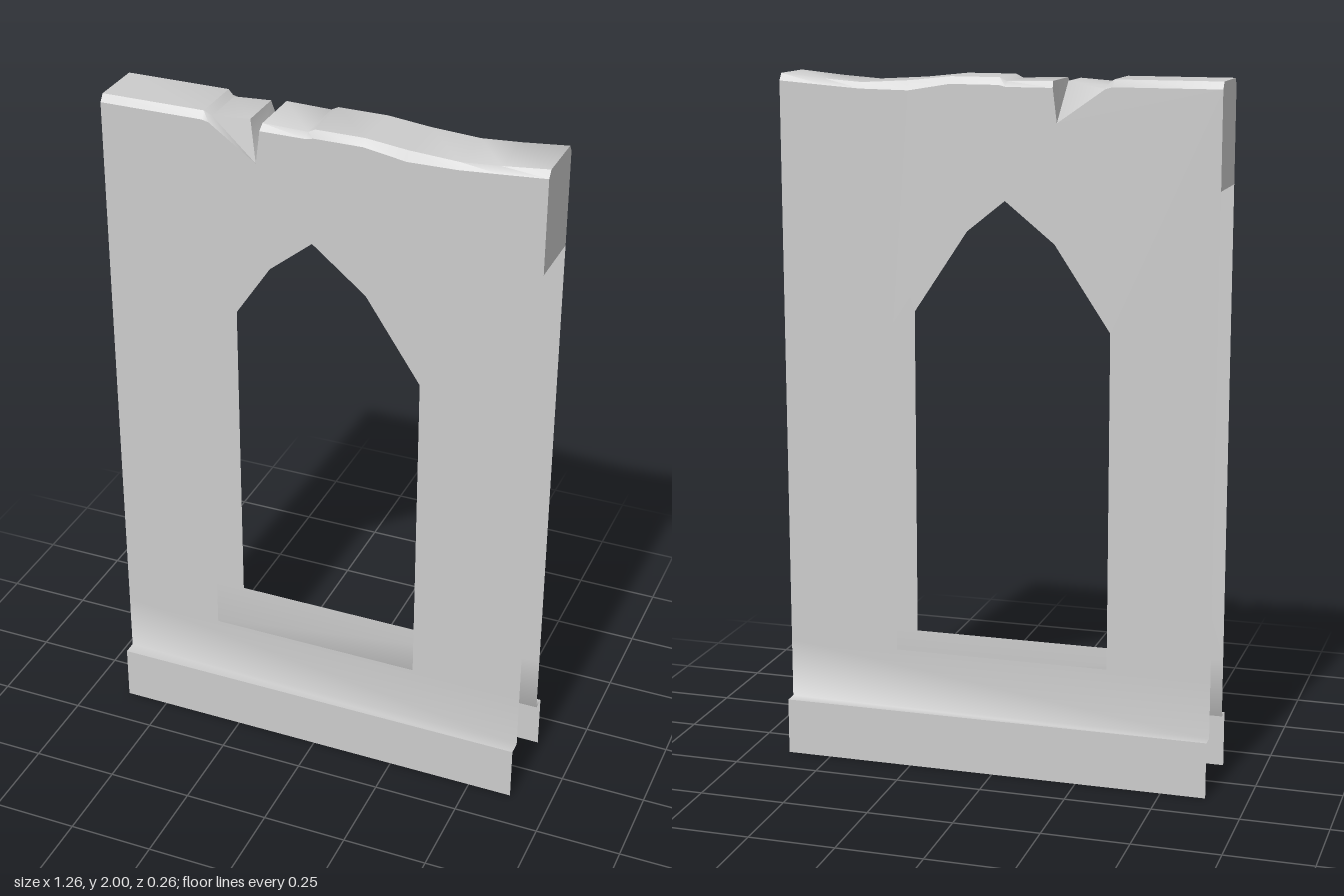
import * as THREE from 'three';
import { toCreasedNormals } from 'three/addons/utils/BufferGeometryUtils.js';

const W = 0.63;    // half width
const D = 0.093;   // half thickness of the wall
const PLINTH = 0.165, SILL = 0.34, CAP = 1.71;

// Broken top edge, left to right: [panel x, panel y, crest x, crest y, crest half depth]
const CREST = [
  [-W, 1.98, -W, 2.0, 0.078],
  [-0.33, 1.98, -0.33, 2.0, 0.078],
  [-0.31, 1.975, -0.31, 1.985, 0.07],
  [-0.175, 1.88, -0.2, 1.993, 0.067],   // loose chip
  [-0.175, 1.88, -0.175, 1.88, D],      // bottom of the crack
  [-0.163, 1.975, -0.16, 1.993, 0.079],
  [-0.03, 1.975, -0.03, 1.99, 0.079],
  [-0.01, 1.98, -0.01, 2.0, 0.079],
  [0.13, 1.98, 0.13, 2.0, 0.079],
  [0.25, 1.96, 0.25, 1.987, 0.08],
  [0.39, 1.962, 0.39, 1.979, 0.08],
  [0.5, 1.97, 0.5, 1.987, 0.079],
  [W, 1.98, W, 2.0, 0.078],
];

// Pointed window opening, from the left sill corner to the right one
const ARCH = [[-0.33, SILL], [-0.33, 1.31], [-0.17, 1.55], [-0.015, 1.675],
  [0.14, 1.55], [0.3, 1.31], [0.3, SILL]];

// Surface through rows of points; rows run along +x
function strip(rows) {
  const n = rows[0].length, index = [];
  for (let i = 0; i < rows.length - 1; i++) {
    for (let j = 0; j < n - 1; j++) {
      const a = i * n + j, b = a + n;
      index.push(a, b, a + 1, b, b + 1, a + 1);
    }
  }
  const g = new THREE.BufferGeometry();
  g.setAttribute('position', new THREE.Float32BufferAttribute(rows.flat(2), 3));
  g.setIndex(index);
  g.computeVertexNormals();
  return g;
}

const shapeOf = (pts) => new THREE.ShapeGeometry(
  new THREE.Shape(pts.map(([x, y]) => new THREE.Vector2(x, y))));

export function createModel() {
  const group = new THREE.Group();
  const material = new THREE.MeshStandardMaterial({ color: 0xcccccc, side: THREE.DoubleSide });
  const add = (name, geometry) => {
    const mesh = new THREE.Mesh(geometry, material);
    mesh.name = name;
    group.add(mesh);
  };
  const alongX = (profile) => strip([-W, W].map((x) => profile.map(([y, z]) => [x, y, z])));

  // Front and back skins: panel around the window, sill band, plinth
  for (const s of [1, -1]) {
    const side = s > 0 ? 'front' : 'back';
    const turn = (g) => (s > 0 ? g : g.rotateY(Math.PI));
    const top = CREST.filter((c, i) => i !== 4).map(([x, y]) => [x, y]).reverse();
    const outline = [[-W, SILL], ...ARCH, [W, SILL], ...top];
    add(side + 'Panel', turn(shapeOf(outline.map(([x, y]) => [x * s, y])).translate(0, 0, D)));
    add(side + 'SillBand', turn(alongX([[PLINTH, 0.132], [PLINTH, D], [SILL, D]])));
    add(side + 'Plinth', turn(alongX([[0, 0.132], [PLINTH, 0.132]])));
  }

  // Worn top with bevelled edges and the crack
  const rows = CREST.map(([px, py, x, y, z]) =>
    [[px, py, D], [x, y, z], [x, y, -z], [px, py, -D]]);
  add('brokenTop', toCreasedNormals(strip(rows), 0.9));

  // Short end caps; the ends are open below them
  const cap = [[-D, CAP], [D, CAP], [D, 1.98], [0.078, 2], [-0.078, 2], [-D, 1.98]];
  for (const s of [1, -1]) {
    add(s > 0 ? 'leftEndCap' : 'rightEndCap',
      shapeOf(cap).rotateY(s * Math.PI / 2).translate(s * W, 0, 0));
  }
  return group;
}
